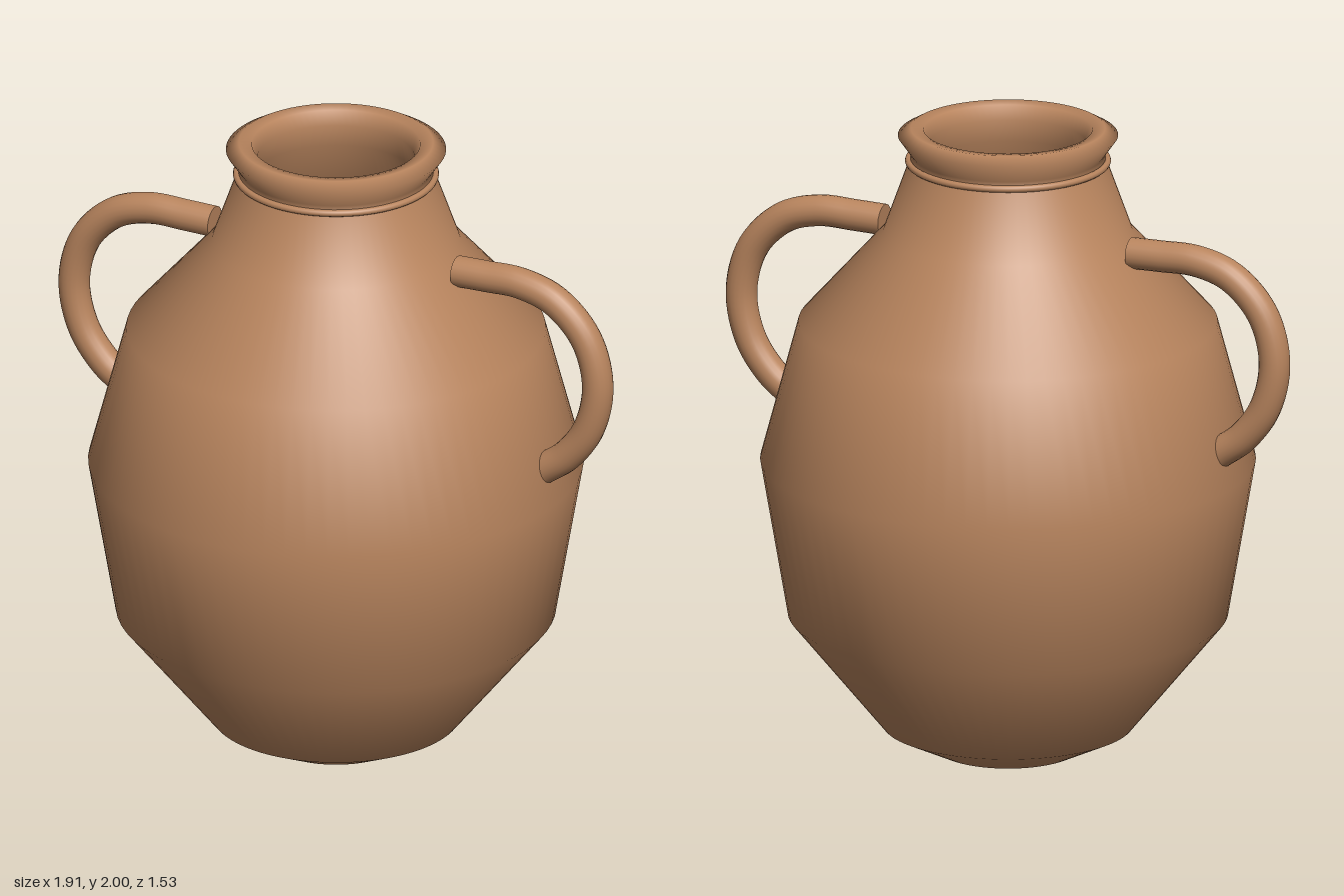
import * as THREE from 'three';

const clay = new THREE.MeshStandardMaterial({ color: 0xb9855e, side: THREE.DoubleSide });

function addMesh(parent, name, geometry) {
  const mesh = new THREE.Mesh(geometry, clay);
  mesh.name = name;
  parent.add(mesh);
  return mesh;
}

// Curved handle lying in the xy plane, with closed ends
function createHandle(name) {
  const group = new THREE.Group();
  group.name = name;
  const path = new THREE.CatmullRomCurve3([
    [0.42, 1.65], [0.52, 1.652], [0.64, 1.652], [0.76, 1.615], [0.865, 1.51],
    [0.906, 1.36], [0.875, 1.21], [0.80, 1.105], [0.72, 1.045],
  ].map(([x, y]) => new THREE.Vector3(x, y, 0)));
  const radius = 0.049;
  addMesh(group, 'handleTube', new THREE.TubeGeometry(path, 48, radius, 20));
  for (const t of [0, 1]) {
    const cap = addMesh(group, 'handleEnd', new THREE.CircleGeometry(radius, 20));
    const outward = path.getTangent(t).multiplyScalar(t ? 1 : -1);
    cap.position.copy(path.getPoint(t));
    cap.quaternion.setFromUnitVectors(new THREE.Vector3(0, 0, 1), outward);
  }
  return group;
}

export function createModel() {
  const jar = new THREE.Group();
  jar.name = 'jar';

  // Thick-walled vessel: outer wall, lip, inner wall and the hole through the base
  const profile = [
    [0.22, 0], [0.387, 0.08], [0.68, 0.44], [0.765, 0.935], [0.647, 1.378],
    [0.385, 1.67], [0.306, 1.89], [0.297, 1.915], [0.34, 1.977], [0.30, 2.0],
    [0.26, 1.995], [0.242, 1.95], [0.25, 1.88], [0.325, 1.65], [0.58, 1.35],
    [0.695, 0.93], [0.615, 0.47], [0.33, 0.16], [0.2, 0.15], [0.22, 0],
  ].map(([r, y]) => new THREE.Vector2(r, y));
  addMesh(jar, 'body', new THREE.LatheGeometry(profile, 72));

  // Thin raised band under the lip
  const band = addMesh(jar, 'neckBand', new THREE.TorusGeometry(0.307, 0.011, 10, 72));
  band.rotation.x = Math.PI / 2;
  band.position.y = 1.895;

  // A handle on each side
  const left = createHandle('leftHandle');
  const right = createHandle('rightHandle');
  right.rotation.y = Math.PI;
  jar.add(left, right);

  return jar;
}
